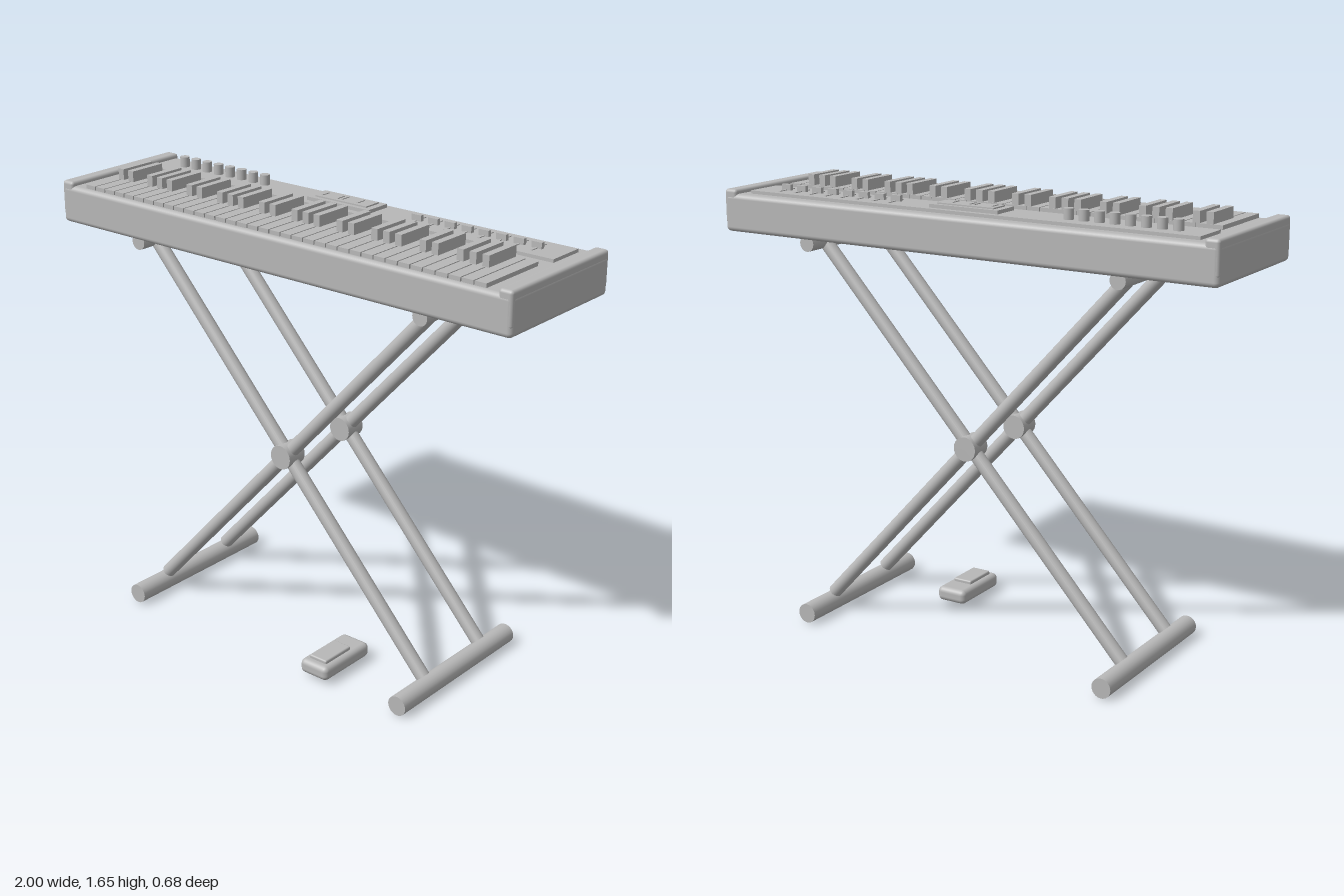
import * as THREE from 'three';
import { RoundedBoxGeometry } from 'three/addons/geometries/RoundedBoxGeometry.js';

export function createModel() {
  const model = new THREE.Group();
  model.name = 'keyboardOnStand';
  const grey = new THREE.MeshStandardMaterial({ color: 0xb8b8b8 });
  grey.name = 'grey';

  const add = (name, geometry, parent = model) => {
    const mesh = new THREE.Mesh(geometry, grey);
    mesh.name = name;
    parent.add(mesh);
    return mesh;
  };
  const group = (name) => {
    const g = new THREE.Group();
    g.name = name;
    model.add(g);
    return g;
  };
  // Box given by its limits on each axis; radius > 0 rounds the edges
  const box = (name, [x0, x1], [y0, y1], [z0, z1], parent, radius = 0) => {
    const size = [x1 - x0, y1 - y0, z1 - z0];
    const geometry = radius
      ? new RoundedBoxGeometry(...size, 3, radius)
      : new THREE.BoxGeometry(...size);
    const mesh = add(name, geometry, parent);
    mesh.position.set((x0 + x1) / 2, (y0 + y1) / 2, (z0 + z1) / 2);
    return mesh;
  };
  // Round bar between two points
  const bar = (name, a, b, r, parent) => {
    const from = new THREE.Vector3(...a), to = new THREE.Vector3(...b);
    const dir = to.clone().sub(from);
    const mesh = add(name, new THREE.CylinderGeometry(r, r, dir.length(), 24), parent);
    mesh.position.copy(from).add(to).multiplyScalar(0.5);
    mesh.quaternion.setFromUnitVectors(new THREE.Vector3(0, 1, 0), dir.normalize());
    return mesh;
  };

  // Case with a raised cheek at each end
  const body = group('case');
  box('caseBody', [-1, 1], [1.46, 1.6], [-0.292, 0.27], body, 0.018);
  for (const s of [-1, 1]) {
    const mid = s * 0.972;
    box('endCheek', [mid - 0.027, mid + 0.027], [1.49, 1.617], [-0.291, 0.269], body, 0.012);
  }

  // Control panel
  const panel = group('controlPanel');
  box('panelPlate', [-0.91, 0.91], [1.595, 1.612], [-0.245, -0.095], panel);
  box('displayFrame', [-0.145, 0.135], [1.6, 1.625], [-0.225, -0.12], panel);
  box('displayScreen', [-0.12, 0.11], [1.62, 1.63], [-0.21, -0.138], panel);
  for (const x of [-0.1, -0.03, -0.01, 0.06]) {
    box('displayMark', [x - 0.003, x + 0.003], [1.628, 1.633], [-0.19, -0.152], panel);
  }
  for (let i = 0; i < 8; i++) {
    const kx = -0.802 + i * 0.058;
    bar('knob', [kx, 1.605, -0.18], [kx, 1.65, -0.18], 0.018, panel);
    const sx = 0.312 + i * 0.07;
    box('sliderSlot', [sx - 0.004, sx + 0.004], [1.605, 1.615], [-0.215, -0.13], panel);
    box('sliderCap', [sx - 0.02, sx + 0.02], [1.605, 1.634], [-0.175, -0.16], panel);
  }

  // Keys: five octaves from C to C
  const keys = group('keys');
  const pitch = 1.785 / 36, start = -0.8925;
  for (let i = 0; i < 36; i++) {
    const x = start + i * pitch;
    box('whiteKey', [x + 0.0025, x + pitch - 0.0025], [1.58, 1.615], [-0.037, 0.25], keys);
    if (i > 0 && i < 35 && [1, 2, 4, 5, 6].includes(i % 7)) {
      box('blackKey', [x - 0.013, x + 0.013], [1.6, 1.655], [-0.035, 0.117], keys);
    }
  }

  // Crossed stand: two pairs of legs, hubs, feet and top rails
  const stand = group('stand');
  for (const z of [0.16, -0.174]) {
    for (const s of [-1, 1]) {
      bar('leg', [-s * 0.625, 0.075, z], [s * 0.625, 1.438, z], 0.026, stand);
    }
    bar('pivotHub', [0, 0.757, z - 0.041], [0, 0.757, z + 0.041], 0.045, stand);
  }
  for (const s of [-1, 1]) {
    bar('foot', [s * 0.635, 0.037, -0.34], [s * 0.635, 0.037, 0.325], 0.037, stand);
    bar('topRail', [s * 0.635, 1.445, -0.275], [s * 0.635, 1.445, 0.245], 0.03, stand);
  }

  // Foot pedal
  const pedal = group('footPedal');
  box('pedalBase', [0.203, 0.327], [0.014, 0.07], [0.085, 0.338], pedal, 0.02);
  box('pedalPad', [0.226, 0.304], [0.06, 0.083], [0.17, 0.31], pedal, 0.006);

  return model;
}
